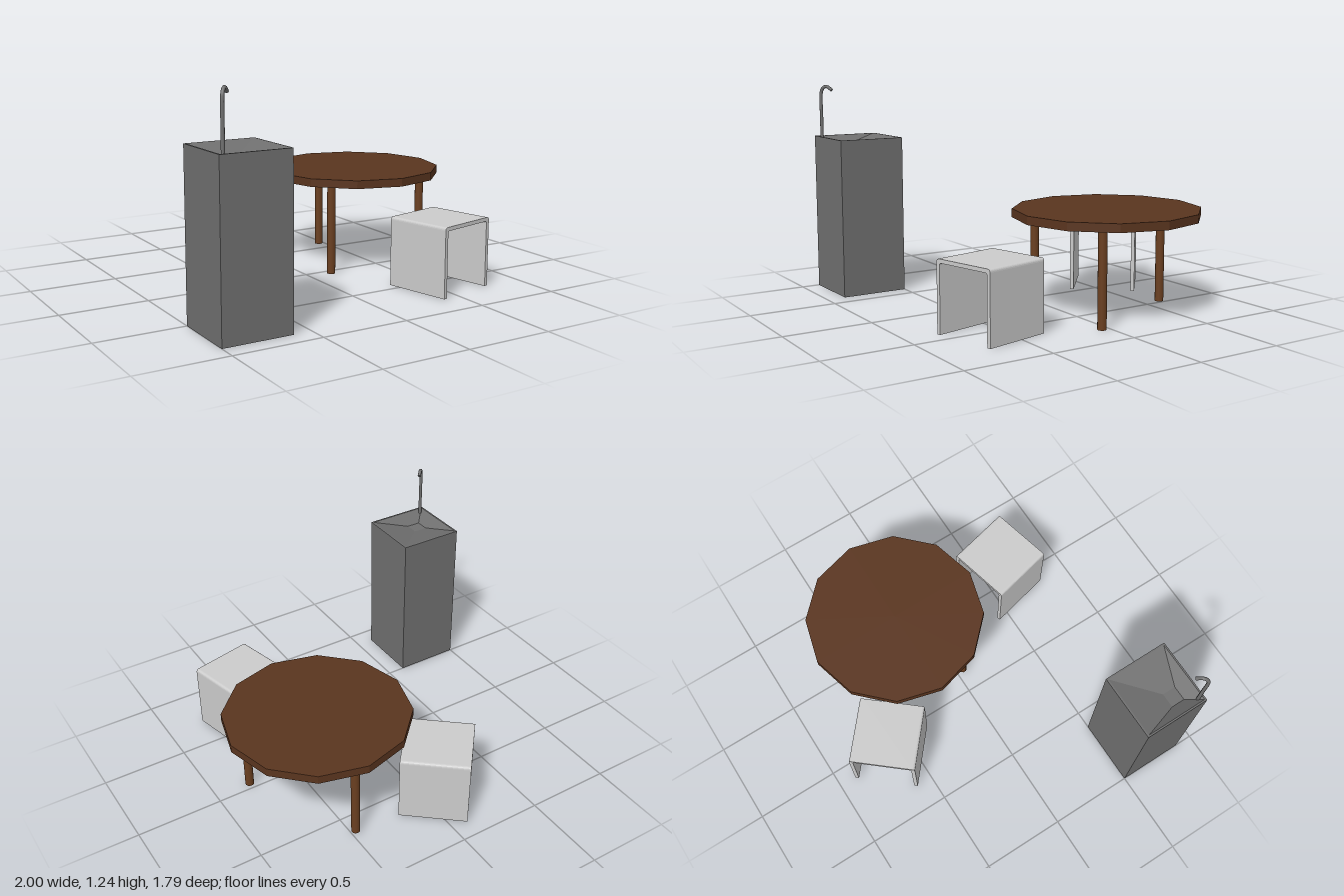
import * as THREE from 'three';

const wood = new THREE.MeshStandardMaterial({ color: 0x5a351f, flatShading: true });
const legWood = new THREE.MeshStandardMaterial({ color: 0x6a3f20 });
const stone = new THREE.MeshStandardMaterial({ color: 0x707070, flatShading: true });
const metal = new THREE.MeshStandardMaterial({ color: 0x707070 });
const sheet = new THREE.MeshStandardMaterial({ color: 0xcccccc });

function add(parent, name, geometry, material, x = 0, y = 0, z = 0) {
  const mesh = new THREE.Mesh(geometry, material);
  mesh.name = name;
  mesh.position.set(x, y, z);
  parent.add(mesh);
  return mesh;
}

// Twelve-sided top on three round legs
function createTable() {
  const table = new THREE.Group();
  table.name = 'table';
  add(table, 'tableTop', new THREE.CylinderGeometry(0.53, 0.53, 0.048, 12), wood, 0, 0.559, 0);
  const legGeometry = new THREE.CylinderGeometry(0.025, 0.025, 0.54, 16);
  for (const [x, z] of [[-0.32, 0.27], [0.32, 0.27], [0, -0.39]]) {
    add(table, 'tableLeg', legGeometry, legWood, x, 0.27, z);
  }
  return table;
}

// Sheet bent into an upside-down U, open at front and back
function createStool() {
  const w = 0.195, h = 0.4, t = 0.022, outer = 0.018, inner = 0.012;
  const u = w - t, top = h - t;
  const s = new THREE.Shape();
  s.moveTo(-w, 0);
  s.lineTo(-u, 0);
  s.lineTo(-u, top - inner);
  s.quadraticCurveTo(-u, top, -u + inner, top);
  s.lineTo(u - inner, top);
  s.quadraticCurveTo(u, top, u, top - inner);
  s.lineTo(u, 0);
  s.lineTo(w, 0);
  s.lineTo(w, h - outer);
  s.quadraticCurveTo(w, h, w - outer, h);
  s.lineTo(-w + outer, h);
  s.quadraticCurveTo(-w, h, -w, h - outer);
  s.closePath();
  const geometry = new THREE.ExtrudeGeometry(s, { depth: 2 * w, bevelEnabled: false, curveSegments: 5 });
  geometry.translate(0, 0, -w);
  const stool = new THREE.Group();
  stool.name = 'stool';
  add(stool, 'bentSheet', geometry, sheet);
  return stool;
}

// Rectangular ring of corners, counter-clockwise seen from above
function ring(x0, x1, z0, z1, y) {
  return [[x0, y, z1], [x1, y, z1], [x1, y, z0], [x0, y, z0]];
}

// Pedestal with a skewed funnel basin
function createSink() {
  const sink = new THREE.Group();
  sink.name = 'sink';
  const rings = [
    ring(-1, -0.605, 0.5, 0.893, 0),
    ring(-1, -0.605, 0.5, 0.893, 0.93),
    ring(-0.99, -0.615, 0.51, 0.883, 0.93),
    ring(-0.92, -0.835, 0.73, 0.81, 0.87),
  ];
  const p = [];
  const quad = (a, b, c, d) => p.push(...a, ...b, ...c, ...a, ...c, ...d);
  for (let k = 0; k < rings.length - 1; k++) {
    for (let i = 0; i < 4; i++) {
      const j = (i + 1) % 4;
      quad(rings[k][i], rings[k][j], rings[k + 1][j], rings[k + 1][i]);
    }
  }
  quad(...rings[3]);
  quad(...[...rings[0]].reverse());
  const geometry = new THREE.BufferGeometry();
  geometry.setAttribute('position', new THREE.Float32BufferAttribute(p, 3));
  geometry.computeVertexNormals();
  add(sink, 'pedestalBasin', geometry, stone);

  // Hooked tap leaning diagonally over the basin
  const reach = [[0, 0.9], [0, 1.05], [0, 1.18], [0.005, 1.205], [0.02, 1.226], [0.038, 1.23], [0.052, 1.222], [0.07, 1.208]];
  const d = Math.SQRT1_2;
  const path = new THREE.CatmullRomCurve3(
    reach.map(([r, y]) => new THREE.Vector3(-0.964 + r * d, y, 0.861 - r * d)));
  add(sink, 'tap', new THREE.TubeGeometry(path, 48, 0.01, 10), metal);
  const end = add(sink, 'tapEnd', new THREE.CircleGeometry(0.01, 10), metal);
  end.position.copy(path.getPoint(1));
  end.lookAt(path.getPoint(1).add(path.getTangent(1)));
  return sink;
}

export function createModel() {
  const model = new THREE.Group();
  model.name = 'tableStoolsAndSink';

  const table = createTable();
  table.position.set(0.467, 0, -0.225);
  model.add(table);

  for (const [x, z, turn] of [[0.537, 0.576, 0.235], [-0.075, -0.622, 0.866]]) {
    const stool = createStool();
    stool.position.set(x, 0, z);
    stool.rotation.y = turn;
    model.add(stool);
  }

  model.add(createSink());
  return model;
}
